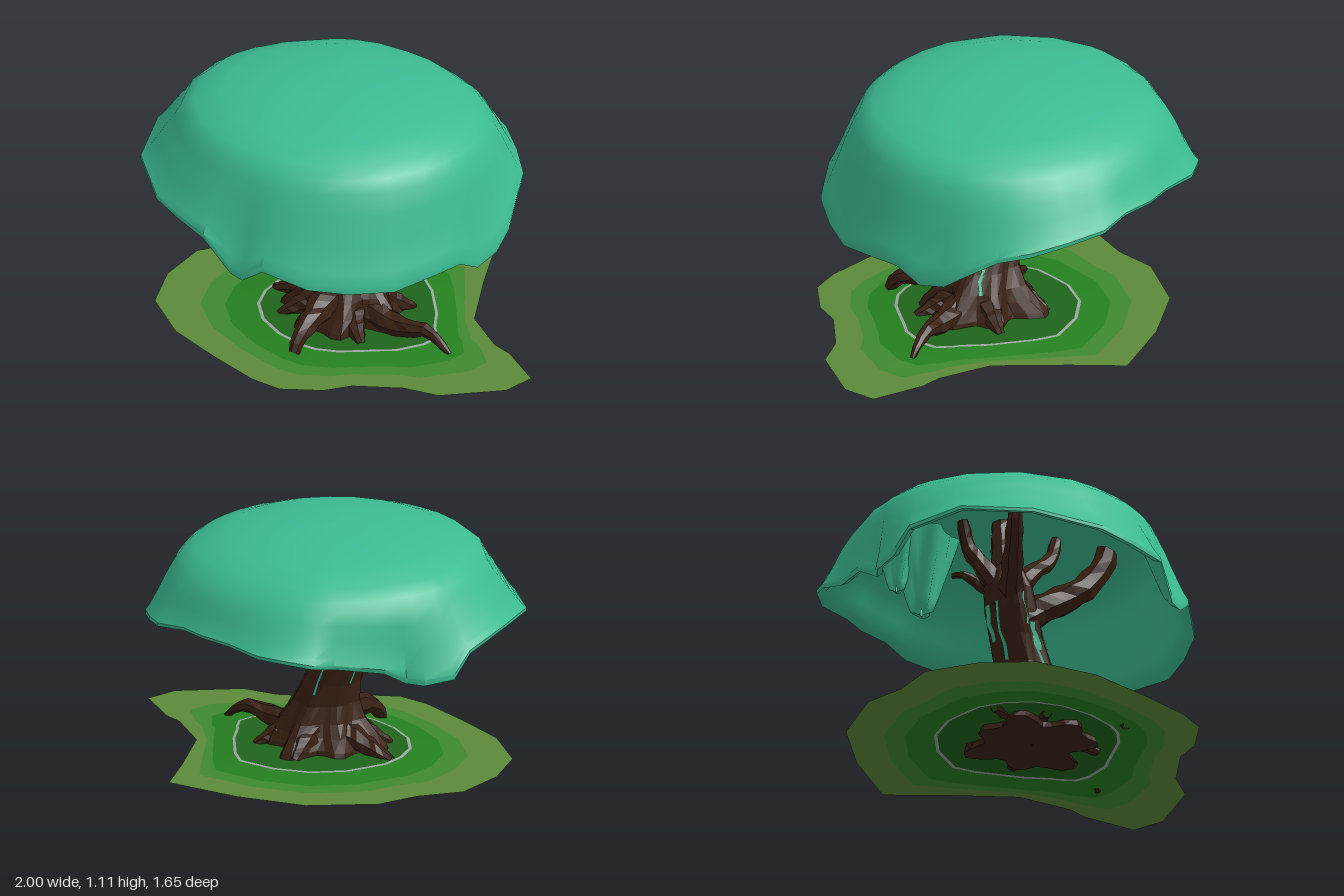
import * as THREE from 'three';
import { toCreasedNormals } from 'three/addons/utils/BufferGeometryUtils.js';

const V = (x, y, z) => new THREE.Vector3(x, y, z);
const mat = (color, extra = {}) => new THREE.MeshStandardMaterial({ color, side: THREE.DoubleSide, ...extra });
const { lerp } = THREE.MathUtils;
const TAU = Math.PI * 2;

// Skin a list of rings (bottom to top, angle running from +x to +z)
function loft(rings, closed = true) {
  const n = rings[0].length, pos = [], idx = [];
  rings.forEach(r => r.forEach(p => pos.push(p.x, p.y, p.z)));
  for (let i = 0; i < rings.length - 1; i++) {
    for (let j = 0; j < (closed ? n : n - 1); j++) {
      const k = (j + 1) % n, a = i * n + j, b = i * n + k, c = a + n, d = b + n;
      idx.push(a, c, b, b, c, d);
    }
  }
  const g = new THREE.BufferGeometry();
  g.setAttribute('position', new THREE.Float32BufferAttribute(pos, 3));
  g.setIndex(idx);
  g.computeVertexNormals();
  return g;
}

// Tube along a curve whose radius goes from r0 to r1
function taperedTube(points, r0, r1, sides = 7, steps = 10) {
  const curve = new THREE.CatmullRomCurve3(points.map(p => V(...p)));
  const g = new THREE.TubeGeometry(curve, steps, 1, sides);
  const p = g.attributes.position, v = V(0, 0, 0);
  for (let i = 0; i < p.count; i++) {
    const row = Math.floor(i / (sides + 1)), t = row / steps, c = curve.getPointAt(t);
    const bump = 1 + 0.1 * Math.sin(row * 2.3 + (i % (sides + 1)) % sides * 2.1);
    v.fromBufferAttribute(p, i).sub(c).multiplyScalar(lerp(r0, r1, t) * bump).add(c);
    p.setXYZ(i, v.x, Math.max(v.y, 0), v.z);
  }
  g.computeVertexNormals();
  return g;
}

// Canopy rim: x, height, z
const RIM = [
  [.67, .51, 0], [.65, .5, .15], [.6, .475, .35], [.48, .48, .52], [.36, .51, .66], [.17, .57, .76],
  [.07, .5, .785], [0, .51, .79], [-.14, .65, .825], [-.32, .67, .8], [-.5, .69, .76], [-.78, .72, .58],
  [-.95, .745, .3], [-1, .69, .05], [-.995, .585, -.04], [-.94, .57, -.17], [-.87, .575, -.22], [-.85, .64, -.33],
  [-.72, .67, -.52], [-.71, .69, -.63], [-.64, .71, -.71], [-.5, .72, -.78], [-.3, .73, -.78],
  [-.15, .74, -.81], [0, .73, -.78], [.17, .71, -.79], [.33, .68, -.7], [.47, .65, -.6], [.55, .62, -.48],
  [.63, .54, -.35], [.65, .47, -.25], [.66, .445, -.12]];

function canopyGeometry() {
  const cx = -0.14;
  // radius fraction, then height, or drop from shoulder to rim when marked
  const profile = [
    [1, 1, true], [1.005, .92, true], [.985, .8, true], [.95, .5, true], [.92, .22, true], [.89, 0, true],
    [.85, .97], [.78, 1.015], [.62, 1.06], [.4, 1.09], [.2, 1.107], [.002, 1.112]];
  // Higher rings fade from the ragged rim to a smooth oval, a little taller at the front
  const ring = ([f, h, drop], scale, sink) => RIM.map(([px, py, pz]) => {
    const a = Math.atan2(pz, px - cx), smooth = drop ? .8 * (1 - h) : .8;
    const x = lerp(px - cx, .82 * Math.cos(a) - .02, smooth);
    const z = lerp(pz, .775 * Math.sin(a) - .03, smooth) * f * scale;
    return V(cx + x * f * scale, (drop ? lerp(.92, py, h) : h + .02 * z) - sink, z);
  });
  const inner = profile.slice(1).reverse().map(p => ring(p, .95, p[2] ? .05 * (1 - p[1]) : .05));
  const outer = profile.map(p => ring(p, 1, 0));
  return toCreasedNormals(loft([...inner, ...outer]), 0.6);
}

// Trunk sections: height, centre x, centre z, radius, lobe depth
const TRUNK = [
  [0, -.02, .035, .26, .26], [.05, -.02, .035, .245, .25], [.1, -.01, .035, .21, .22], [.16, -.01, .035, .18, .14],
  [.24, -.03, .035, .145, .1], [.34, -.07, .035, .125, .09], [.46, -.13, .035, .115, .09],
  [.58, -.19, .045, .112, .1], [.68, -.23, .055, .105, .1], [.78, -.24, .05, .07, .1]];

function trunkPoint(a, y, grow = 1) {
  let i = 0;
  while (i < TRUNK.length - 2 && TRUNK[i + 1][0] < y) i++;
  const A = TRUNK[i], B = TRUNK[i + 1], t = (y - A[0]) / (B[0] - A[0]);
  const [, x, z, r, lobe] = A.map((v, k) => lerp(v, B[k], t));
  const twist = a + y * 0.8;
  const R = r * grow * (1 + lobe * (0.65 * Math.cos(7 * twist) + 0.45 * Math.cos(4 * twist + 1)));
  return V(x + Math.cos(a) * R, y, z + Math.sin(a) * R);
}

// Ground outline: x, z
const GROUND = [
  [1, -.12], [1, .04], [.82, .29], [.66, .35], [.48, .5], [.42, .62], [.27, .75], [.12, .77], [-.15, .74],
  [-.45, .69], [-.72, .55], [-.86, .33], [-.92, .08], [-.83, -.12], [-.8, -.32], [-.6, -.58], [-.3, -.73],
  [.05, -.83], [.2, -.62], [.42, -.34], [.66, -.23], [.76, -.22]];

// Ground outline shrunk by f and rounded towards a circle
function groundRing(f, round, y) {
  return GROUND.map(([x, z]) => {
    const a = Math.atan2(z, x), r = lerp(Math.hypot(x, z), .8, round) * f;
    return V(Math.cos(a) * r, y, Math.sin(a) * r);
  });
}

export function createModel() {
  const model = new THREE.Group();
  const add = (name, geometry, material, parent = model) => {
    const m = new THREE.Mesh(geometry, material);
    m.name = name;
    parent.add(m);
  };
  const bark = mat(0x3a2114, { flatShading: true });
  const leaf = mat(0x3cbc92);

  // Grass in bands, flat outside and rising slightly near the trunk
  const ground = new THREE.Group();
  ground.name = 'ground';
  model.add(ground);
  const bands = [[1, 0, .008], [.8, .3, .008], [.69, .5, .01], [.53, .65, .026], [.512, .65, .028], [.2, 1, .03]];
  const tints = [0x5d8939, 0x3f8a30, 0x25801f, 0x9aa5a0, 0x1f641b];
  const names = ['outerGrass', 'middleGrass', 'innerGrass', 'stoneBorder', 'darkGrass'];
  tints.forEach((c, i) =>
    add(names[i], loft([groundRing(...bands[i]), groundRing(...bands[i + 1])]), mat(c), ground));

  // Leaning trunk with fluted bark and a closed foot
  const section = (y, grow) => Array.from({ length: 36 }, (_, j) => trunkPoint(j / 36 * TAU, y, grow));
  add('trunk', loft([section(0, .01), ...TRUNK.map(t => section(t[0]))]), bark);

  // Roots: path, start radius, end radius
  [
    [[[.08, .1, .03], [.22, .07, .03], [.35, .07, .02], [.44, .09, 0], [.52, .06, -.01], [.58, .01, -.02]], .08, .012],
    [[[0, .16, .12], [.03, .14, .25], [.06, .12, .34], [.08, .08, .43], [.09, .02, .48]], .085, .025],
    [[[-.08, .12, .03], [-.22, .08, .06], [-.32, .05, .08], [-.41, .02, .1]], .08, .02],
    [[[-.05, .13, -.05], [-.1, .08, -.16], [-.13, .02, -.24]], .08, .025],
    [[[.06, .12, -.04], [.13, .06, -.14], [.17, .02, -.21]], .075, .02],
    [[[-.08, .12, .1], [-.17, .06, .2], [-.22, .02, .26]], .075, .02],
    [[[.08, .1, .1], [.18, .05, .17], [.25, .02, .21]], .07, .02],
  ].forEach(([path, a, b]) => add('root', taperedTube(path, a, b), bark));

  // Branches reaching into the canopy
  [
    [[[-.18, .54, .06], [-.06, .64, .16], [.04, .72, .25], [.12, .84, .31], [.15, .94, .33]], .08, .05],
    [[[-.22, .6, .05], [-.22, .78, .03], [-.19, .92, 0], [-.16, 1.05, -.03]], .08, .05],
    [[[-.22, .64, .05], [-.13, .78, .1], [-.03, .88, .14], [.02, 1.0, .14]], .055, .025],
    [[[-.23, .64, .04], [-.32, .78, -.02], [-.35, .88, -.08], [-.4, 1.0, -.08]], .06, .025],
    [[[-.23, .66, .03], [-.27, .73, -.08], [-.32, .77, -.13], [-.34, .77, -.18]], .045, .012],
    [[[-.23, .62, .06], [-.38, .74, .18], [-.48, .84, .26], [-.52, .98, .3]], .06, .03],
  ].forEach(([path, a, b]) => add('branch', taperedTube(path, a, b), bark));

  // Moss strips on the bark: angle, bottom, top, width
  [
    [1.6, .14, .32, .1], [1.45, .26, .31, .36], [1.85, .3, .46, .1], [1.75, .4, .52, .22], [2.0, .5, .64, .12],
    [.75, .26, .5, .12], [1.1, .42, .6, .1], [.05, .24, .34, .4], [.15, .34, .52, .14], [.8, .38, .43, .3],
    [-.6, .16, .4, .1], [-1.1, .4, .62, .14], [-1.9, .3, .55, .12], [3.2, .35, .6, .14], [-2.5, .45, .6, .2],
  ].forEach(([a, y0, y1, w]) => {
    const rows = Array.from({ length: 5 }, (_, i) => {
      const y = lerp(y0, y1, i / 4), shift = a + .06 * Math.sin(i * 2 + a);
      return [0, .33, .67, 1].map(t => trunkPoint(shift + (t - .5) * w, y, 1.05));
    });
    add('mossStrip', loft(rows, false), leaf);
  });

  // Canopy shell with a thick uneven rim
  add('canopy', canopyGeometry(), leaf);

  // Creased leaf folds hanging inside the canopy: x, z, tip height, size
  [[-.45, -.27, .57, 1], [-.56, -.33, .66, .65]].forEach(([x, z, tip, s]) => {
    const rings = [[.01, 0], [.05, .005], [.07, .06], [.09, .14], [.12, .24], [.15, .37]].map(([r, h], i) =>
      Array.from({ length: 28 }, (_, j) => {
        const a = j / 28 * TAU, R = r * s * (1 + .14 * Math.cos(5 * a + i * .5) + .08 * Math.cos(9 * a));
        return V(x + Math.cos(a) * R, tip + h * s + .012 * Math.sin(3 * a), z + Math.sin(a) * R);
      }));
    add('innerLeafFold', loft(rings), leaf);
  });
  return model;
}
